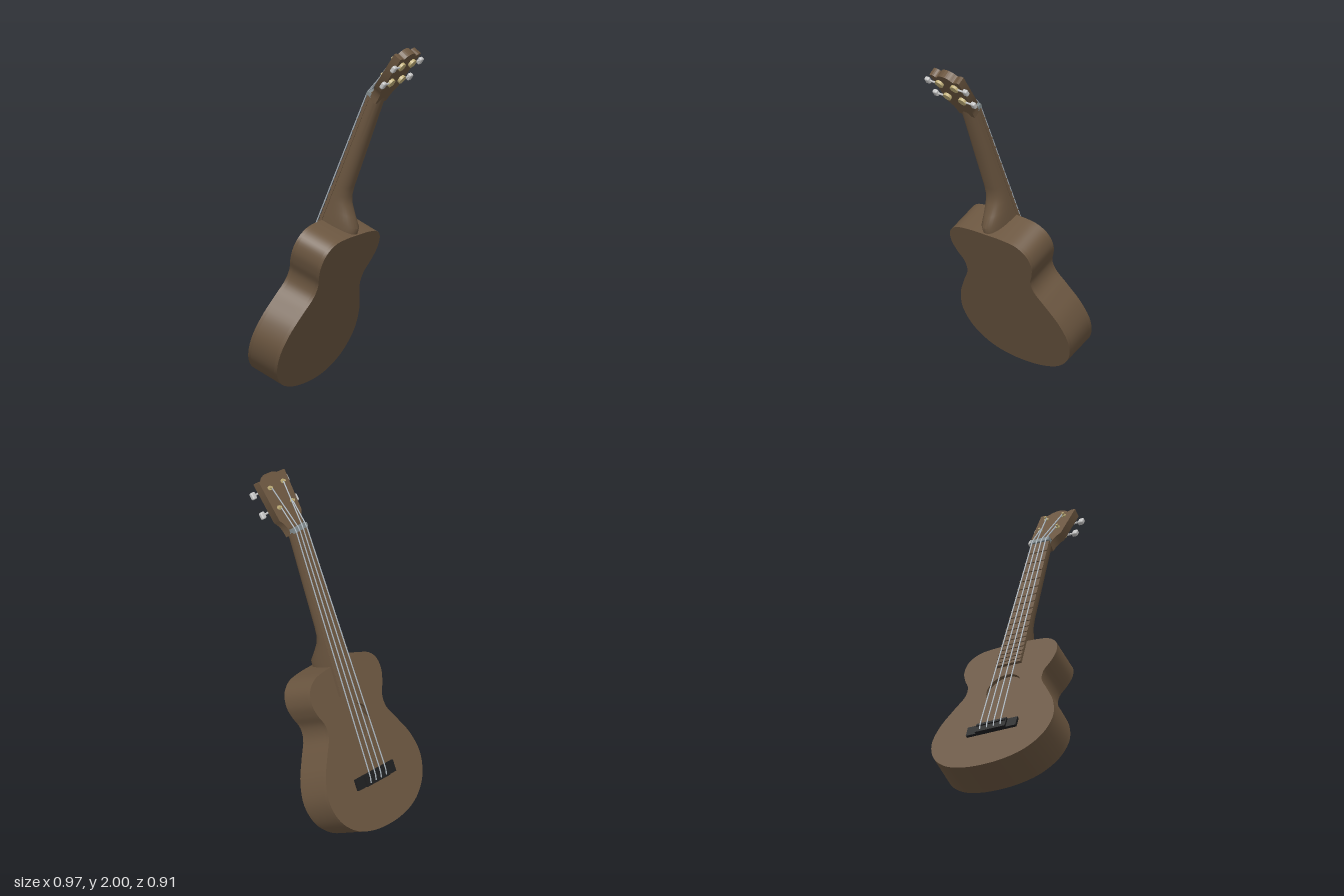
import * as THREE from 'three';
import { toCreasedNormals } from 'three/addons/utils/BufferGeometryUtils.js';
import { RoundedBoxGeometry } from 'three/addons/geometries/RoundedBoxGeometry.js';

const material = (name, color) => {
  const m = new THREE.MeshStandardMaterial({ color });
  m.name = name;
  return m;
};
const wood = material('brown wood', 0x6b5640);
const black = material('black bridge', 0x1e1f20);
const silver = material('silver knob', 0xc4c4c4);
const gold = material('pale gold', 0xbfae78);
const steel = material('string grey', 0xaab4bc);
const bone = material('nut grey', 0x808a8c);

// Local frame: y along the neck, z out of the soundboard, y = 0 at the tail
const DEPTH = 0.205, NUT = 1.762, BEND = THREE.MathUtils.degToRad(12.5);

function add(parent, name, geometry, mat, x = 0, y = 0, z = 0) {
  const mesh = new THREE.Mesh(geometry, mat);
  mesh.name = name;
  mesh.position.set(x, y, z);
  parent.add(mesh);
  return mesh;
}

const extrude = (shape, depth) => toCreasedNormals(
  new THREE.ExtrudeGeometry(shape, { depth, bevelEnabled: false, curveSegments: 40 }), 0.6);

// Figure-of-eight outline, one half mirrored
function bodyOutline() {
  const half = [[0, 0], [0.13, 0.012], [0.25, 0.055], [0.345, 0.145], [0.385, 0.27], [0.36, 0.4],
    [0.295, 0.52], [0.243, 0.61], [0.24, 0.68], [0.273, 0.75], [0.292, 0.82], [0.277, 0.895],
    [0.22, 0.945], [0.12, 0.963], [0, 0.965]];
  const mirrored = half.slice(1, -1).reverse().map(([x, y]) => [-x, y]);
  const points = [...half, ...mirrored].map(([x, y]) => new THREE.Vector3(x, y, 0));
  return new THREE.CatmullRomCurve3(points, true).getPoints(120).slice(0, -1)
    .map(p => new THREE.Vector2(p.x, p.y));
}

// Hollow body: back, sides and soundboard with a round hole
function addBody(parent) {
  const outline = bodyOutline(), wall = 0.02;
  add(parent, 'back', extrude(new THREE.Shape(outline), wall), wood);

  const ring = new THREE.Shape(outline);
  ring.holes.push(new THREE.Path(outline.map(p =>
    new THREE.Vector2(p.x * 0.94, 0.48 + (p.y - 0.48) * 0.955))));
  add(parent, 'sides', extrude(ring, DEPTH - 2 * wall), wood, 0, 0, wall);

  const top = new THREE.Shape(outline);
  top.holes.push(new THREE.Path().absarc(0, 0.61, 0.107, 0, Math.PI * 2, true));
  add(parent, 'soundboard', extrude(top, wall), wood, 0, 0, DEPTH - wall);
}

// Neck and heel lofted through half-round sections [y, half width, underside z]
function neckGeometry() {
  const sections = [[0.955, 0.07, 0.008], [1.0, 0.07, 0.012], [1.05, 0.069, 0.06], [1.1, 0.068, 0.104],
    [1.14, 0.067, 0.126], [1.2, 0.066, 0.134], [1.45, 0.061, 0.14], [1.65, 0.057, 0.146], [NUT + 0.03, 0.056, 0.15]];
  const N = 20, rings = sections.map(([y, hw, under]) => Array.from({ length: N + 1 }, (_, j) => {
    const a = Math.PI * j / N, c = Math.cos(a);
    return [hw * Math.sign(c) * Math.abs(c) ** 0.85, y, DEPTH - (DEPTH - under) * Math.sin(a) ** 0.85];
  }));
  const pos = [], tri = (...corners) => corners.forEach(c => pos.push(...c));
  for (let i = 0; i < rings.length - 1; i++) {
    for (let j = 0; j <= N; j++) {
      const k = (j + 1) % (N + 1);
      const a = rings[i][j], b = rings[i][k], c = rings[i + 1][k], d = rings[i + 1][j];
      tri(a, b, c);
      tri(a, c, d);
    }
  }
  const first = rings[0], last = rings[rings.length - 1];
  for (let j = 1; j < N; j++) {
    tri(first[0], first[j + 1], first[j]);
    tri(last[0], last[j], last[j + 1]);
  }
  const g = new THREE.BufferGeometry();
  g.setAttribute('position', new THREE.Float32BufferAttribute(pos, 3));
  return toCreasedNormals(g, 0.7);
}

// Fingerboard, frets and nut
const boardHalf = y => THREE.MathUtils.lerp(0.078, 0.058, (y - 0.79) / (NUT - 0.79));
function addFingerboard(parent) {
  const s = new THREE.Shape([[-0.078, 0.79], [0.078, 0.79], [0.058, NUT], [-0.058, NUT]]
    .map(p => new THREE.Vector2(...p)));
  add(parent, 'fingerboard', extrude(s, 0.017), wood, 0, 0, DEPTH);
  for (let i = 1; i <= 18; i++) {
    const y = NUT - 1.467 * (1 - 2 ** (-i / 12));
    add(parent, 'fret', new THREE.BoxGeometry(boardHalf(y) * 2, 0.008, 0.007), wood, 0, y, DEPTH + 0.019);
  }
  add(parent, 'nut', new THREE.BoxGeometry(0.116, 0.026, 0.034), bone, 0, NUT + 0.008, DEPTH + 0.01);
}

function addBridge(parent) {
  add(parent, 'bridgeBase', new THREE.BoxGeometry(0.315, 0.066, 0.016), black, 0, 0.29, DEPTH + 0.008);
  add(parent, 'bridgeBlock', new THREE.BoxGeometry(0.19, 0.066, 0.02), black, 0, 0.29, DEPTH + 0.018);
  add(parent, 'saddle', new THREE.BoxGeometry(0.18, 0.014, 0.012), black, 0, 0.305, DEPTH + 0.03);
}

// Headstock with scalloped end, tilted back from the nut
function addHeadstock(parent) {
  const head = new THREE.Group();
  head.name = 'headstock';
  head.position.set(0, NUT, 0.215);
  head.rotation.x = -BEND;
  parent.add(head);

  const v = (x, y) => new THREE.Vector2(x, y);
  const s = new THREE.Shape();
  s.moveTo(-0.057, -0.01);
  s.lineTo(0.057, -0.01);
  s.splineThru([v(0.061, 0.03), v(0.072, 0.062), v(0.093, 0.092)]);
  s.lineTo(0.108, 0.335);
  s.splineThru([v(0.085, 0.337), v(0.062, 0.328), v(0.035, 0.348), v(0, 0.357),
    v(-0.035, 0.348), v(-0.062, 0.328), v(-0.085, 0.337), v(-0.108, 0.335)]);
  s.lineTo(-0.093, 0.092);
  s.splineThru([v(-0.072, 0.062), v(-0.061, 0.03), v(-0.057, -0.01)]);
  add(head, 'headPlate', extrude(s, 0.05), wood, 0, 0, -0.062);

  // Four tuners: post, bushing, gear, shaft and knob
  for (const side of [-1, 1]) {
    for (const p of [0.159, 0.28]) {
      const post = add(head, 'tunerPost', new THREE.CylinderGeometry(0.007, 0.007, 0.08, 12), gold, side * 0.055, p, -0.03);
      const bushing = add(head, 'tunerBushing', new THREE.CylinderGeometry(0.013, 0.013, 0.008, 16), gold, side * 0.055, p, -0.009);
      const gear = add(head, 'tunerGear', new THREE.CylinderGeometry(0.026, 0.026, 0.018, 20), gold, side * 0.055, p, -0.07);
      for (const part of [post, bushing, gear]) part.rotation.x = Math.PI / 2;
      const shaft = add(head, 'tunerShaft', new THREE.CylinderGeometry(0.006, 0.006, 0.08, 10), silver, side * 0.095, p, -0.07);
      shaft.rotation.z = Math.PI / 2;
      add(head, 'tunerKnob', new RoundedBoxGeometry(0.032, 0.042, 0.026, 3, 0.009), silver, side * 0.138, p, -0.07);
    }
  }
}

// Strings run from bridge over nut to the posts
function addStrings(parent) {
  const onHead = (x, p, z) => new THREE.Vector3(x, NUT + p * Math.cos(BEND) + z * Math.sin(BEND),
    0.215 - p * Math.sin(BEND) + z * Math.cos(BEND));
  for (let i = 0; i < 4; i++) {
    const k = (i - 1.5) / 1.5, outer = i === 0 || i === 3;
    const points = [new THREE.Vector3(k * 0.065, 0.27, DEPTH + 0.03), new THREE.Vector3(k * 0.065, 0.305, DEPTH + 0.038),
      new THREE.Vector3(k * 0.043, NUT + 0.008, DEPTH + 0.03), onHead(Math.sign(k) * 0.05, outer ? 0.159 : 0.28, 0.001)];
    const path = new THREE.CurvePath();
    for (let j = 0; j < 3; j++) path.add(new THREE.LineCurve3(points[j], points[j + 1]));
    add(parent, 'string', new THREE.TubeGeometry(path, 60, 0.004, 6), steel);
  }
}

export function createModel() {
  const model = new THREE.Group();
  model.name = 'smallGuitar';
  const instrument = new THREE.Group();
  instrument.name = 'instrument';
  addBody(instrument);
  add(instrument, 'neck', neckGeometry(), wood);
  addFingerboard(instrument);
  addBridge(instrument);
  addHeadstock(instrument);
  addStrings(instrument);

  // Lean the whole instrument back and turn it
  const t = THREE.MathUtils.degToRad(22.5), s = Math.sin(t), c = Math.cos(t);
  const hx = 0.809, hz = 0.588;
  const basis = new THREE.Matrix4().makeBasis(new THREE.Vector3(-hz, 0, hx),
    new THREE.Vector3(s * hx, c, s * hz), new THREE.Vector3(-c * hx, s, -c * hz));
  instrument.quaternion.setFromRotationMatrix(basis);
  instrument.position.set(-0.173, 0, -0.086);
  model.add(instrument);
  return model;
}
